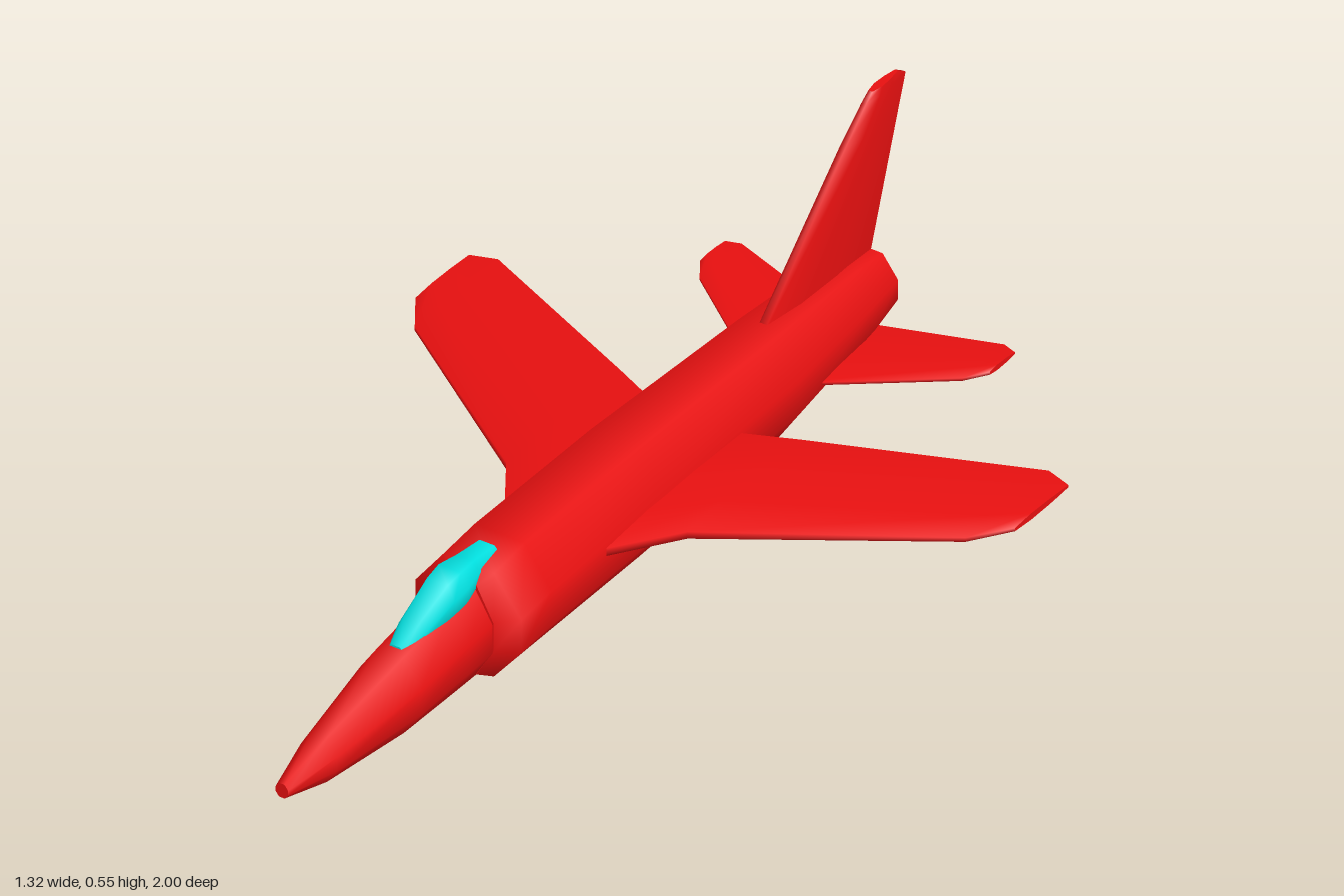
import * as THREE from 'three';

const red = new THREE.MeshStandardMaterial({ color: 0xe61010 });
red.name = 'red paint';
const glass = new THREE.MeshStandardMaterial({ color: 0x00dede });
glass.name = 'cyan glass';

// Smooth skin through closed rings of [x, y, z] points, with flat end caps
function loft(rings) {
  const n = rings[0].length, pos = rings.flat(2), idx = [];
  for (let r = 0; r < rings.length - 1; r++) {
    for (let i = 0; i < n; i++) {
      const a = r * n + i, b = r * n + (i + 1) % n;
      idx.push(a, b, b + n, a, b + n, a + n);
    }
  }
  [rings[0], rings[rings.length - 1]].forEach((ring, end) => {
    const base = pos.length / 3;
    pos.push(...ring.flat());
    for (let i = 1; i < n - 1; i++) {
      if (end) idx.push(base, base + i, base + i + 1);
      else idx.push(base, base + i + 1, base + i);
    }
  });
  // Turn the faces outward if the rings run the other way
  const point = (i) => new THREE.Vector3().fromArray(pos, i * 3);
  let volume = 0;
  for (let i = 0; i < idx.length; i += 3) {
    volume += point(idx[i]).dot(point(idx[i + 1]).cross(point(idx[i + 2])));
  }
  if (volume < 0) idx.reverse();
  const geo = new THREE.BufferGeometry();
  geo.setAttribute('position', new THREE.Float32BufferAttribute(pos, 3));
  geo.setIndex(idx);
  geo.computeVertexNormals();
  return geo;
}

// Eight-sided body section: z, half width, bottom, top
function octagon([z, w, y0, y1], flat = 0.48) {
  const lo = y0 + (y1 - y0) * 0.33, hi = y0 + (y1 - y0) * 0.65;
  return [[w, lo], [w, hi], [w * flat, y1], [-w * flat, y1],
    [-w, hi], [-w, lo], [-w * flat, y0], [w * flat, y0]].map(([x, y]) => [x, y, z]);
}

// Aerofoil section as [z, thickness offset]: leading z, trailing z, half thickness
function foil(lead, trail, half) {
  return [[0, 0.5], [0.3, 1], [0.65, 0.85], [1, 0.35],
    [1, -0.35], [0.65, -0.85], [0.3, -1], [0, -0.5]]
    .map(([f, t]) => [lead + (trail - lead) * f, t * half]);
}

// Wing stations: x, leading z, trailing z, centre y, half thickness
function wing(stations, side) {
  return loft(stations.map(([x, lead, trail, y, half]) =>
    foil(lead, trail, half).map(([z, t]) => [x * side, y + t, z])));
}

export function createModel() {
  const group = new THREE.Group();
  const add = (name, geo, mat = red) => {
    const mesh = new THREE.Mesh(geo, mat);
    mesh.name = name;
    group.add(mesh);
  };

  // Body
  add('fuselage', loft([
    [0.425, 0.072, 0.01, 0.205], [0.4, 0.117, 0, 0.226], [0.3, 0.115, 0, 0.237],
    [-0.07, 0.11, 0, 0.24], [-0.53, 0.094, 0.003, 0.227],
    [-0.8, 0.074, 0.045, 0.216], [-0.885, 0.066, 0.075, 0.206],
  ].map((s) => octagon(s))));
  add('nose', loft([
    [1, 0.014, 0.046, 0.076], [0.88, 0.04, 0.02, 0.117], [0.65, 0.068, 0.004, 0.17],
    [0.5, 0.07, 0.004, 0.193], [0.38, 0.07, 0.004, 0.205],
  ].map((s) => octagon(s, 0.42))));

  // Canopy
  add('canopy', loft([
    [0.635, 0.017, 0.15, 0.176], [0.58, 0.03, 0.15, 0.205], [0.5, 0.038, 0.155, 0.242],
    [0.46, 0.041, 0.165, 0.249], [0.41, 0.031, 0.18, 0.245], [0.34, 0.028, 0.2, 0.239],
  ].map((s) => octagon(s, 0.6))), glass);

  // Wings and tailplanes
  for (const [side, label] of [[1, 'left'], [-1, 'right']]) {
    add(label + 'Wing', wing([
      [0.06, 0.2, -0.31, 0.141, 0.018], [0.2, -0.012, -0.38, 0.136, 0.015],
      [0.608, -0.312, -0.58, 0.115, 0.009], [0.662, -0.393, -0.565, 0.113, 0.007],
    ], side));
    add(label + 'Tailplane', wing([
      [0.03, -0.565, -0.81, 0.094, 0.006], [0.29, -0.765, -0.9, 0.094, 0.006],
      [0.32, -0.81, -0.89, 0.094, 0.006],
    ], side));
  }

  // Fin, from root to tip: y, leading z, trailing z, half thickness
  add('fin', loft([
    [0.19, -0.51, -0.88, 0.017], [0.47, -0.8, -0.978, 0.012],
    [0.53, -0.87, -1, 0.01], [0.546, -0.892, -0.975, 0.009],
  ].map(([y, lead, trail, half]) => foil(lead, trail, half).map(([z, t]) => [t, y, z]))));

  return group;
}
